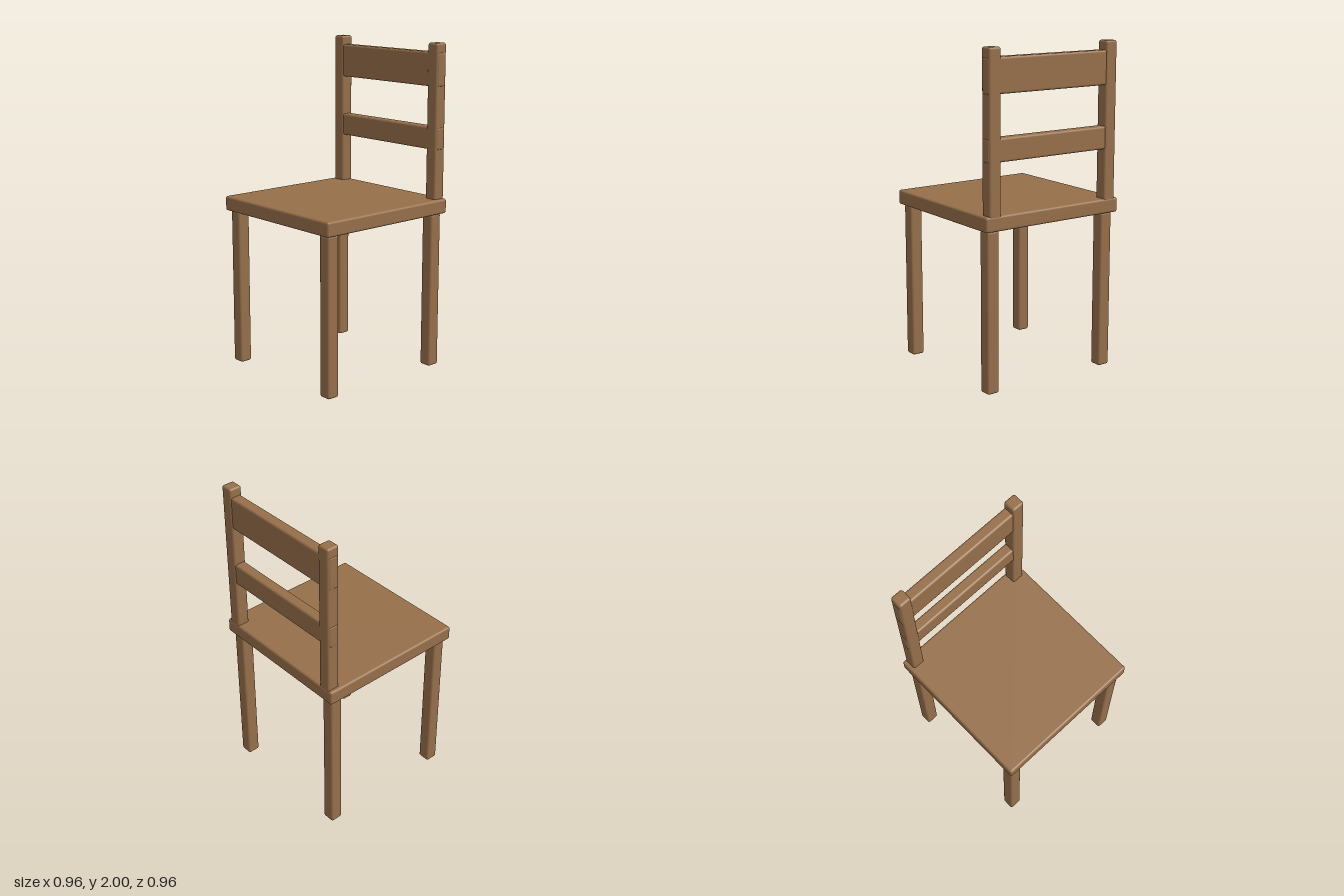
import * as THREE from 'three';
import { RoundedBoxGeometry } from 'three/addons/geometries/RoundedBoxGeometry.js';

export function createModel() {
  const chair = new THREE.Group();
  chair.name = 'chair';
  const wood = new THREE.MeshStandardMaterial({ color: 0x966f4a });

  // Rounded plank spanning y0..y1, centred on x and z
  function plank(name, width, depth, y0, y1, x, z, radius = 0.014) {
    const geometry = new RoundedBoxGeometry(width, y1 - y0, depth, 3, radius);
    const mesh = new THREE.Mesh(geometry, wood);
    mesh.name = name;
    mesh.position.set(x, (y0 + y1) / 2, z);
    chair.add(mesh);
  }

  plank('seat', 0.96, 0.96, 0.97, 1.06, 0, 0);

  // Legs and back posts, mirrored left and right
  for (const [side, x] of [['left', 0.415], ['right', -0.415]]) {
    plank(`${side}FrontLeg`, 0.08, 0.08, 0, 0.97, x, 0.415);
    plank(`${side}BackLeg`, 0.08, 0.08, 0, 0.97, x, -0.415);
    plank(`${side}BackPost`, 0.08, 0.08, 1.03, 2, x, -0.438);
  }

  // Back rails pass through the posts and stand slightly proud at the ends
  plank('topRail', 0.918, 0.068, 1.74, 1.945, 0, -0.438);
  plank('lowerRail', 0.918, 0.068, 1.36, 1.498, 0, -0.438);

  return chair;
}
